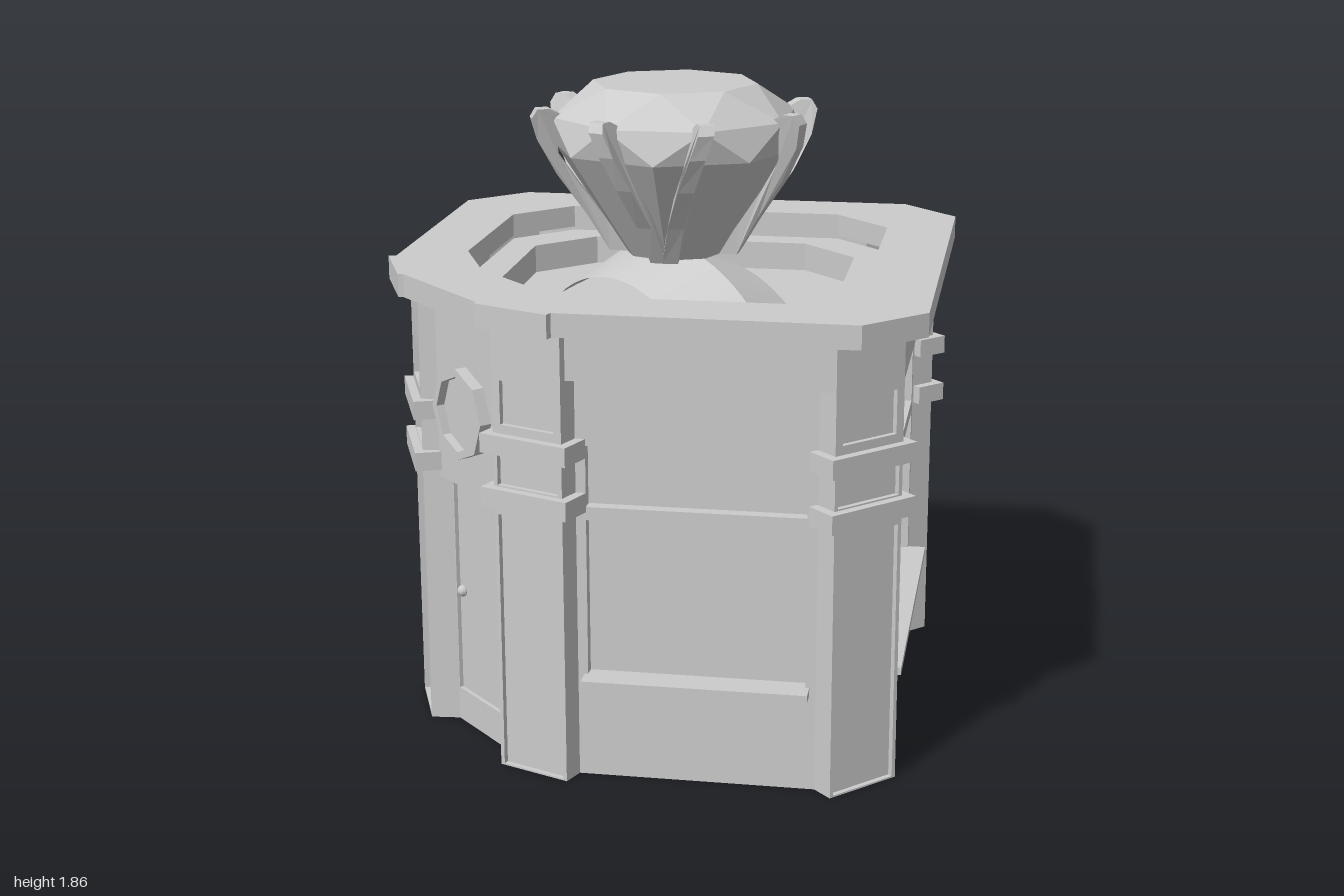
import * as THREE from 'three';
import { ConvexGeometry } from 'three/addons/geometries/ConvexGeometry.js';

const mat = new THREE.MeshStandardMaterial({ color: 0xcccccc, flatShading: true, side: THREE.DoubleSide });

export function createModel() {
  const model = new THREE.Group();

  const add = (name, geo, parent = model, x = 0, y = 0, z = 0) => {
    const m = new THREE.Mesh(geo, mat);
    m.name = name;
    m.position.set(x, y, z);
    parent.add(m);
    return m;
  };
  const box = (name, w, h, d, x, y, z, parent) => add(name, new THREE.BoxGeometry(w, h, d), parent, x, y, z);

  // Plan outlines are [x, z] points
  const vecs = (pts) => pts.map(([x, z]) => new THREE.Vector2(x, -z));
  const slab = (name, pts, y0, y1, hole) => {
    const s = new THREE.Shape(vecs(pts));
    if (hole) s.holes.push(new THREE.Path(vecs(hole)));
    const g = new THREE.ExtrudeGeometry(s, { depth: y1 - y0, bevelEnabled: false });
    add(name, g.rotateX(-Math.PI / 2), model, 0, y0, 0);
  };
  // Closed symmetric outline from its +x half, listed front to back
  const symmetric = (half) => [...half, ...half.map(([x, z]) => [-x, z]).reverse()];

  // Flat upright wall from a to b with rectangular recesses [u0, u1, y0, y1, depth]
  const wall = (name, a, b, y0, y1, recesses = []) => {
    const g = new THREE.Group();
    g.name = name;
    g.position.set(a[0], 0, a[1]);
    g.rotation.y = Math.atan2(a[1] - b[1], b[0] - a[0]);
    model.add(g);
    const len = Math.hypot(b[0] - a[0], b[1] - a[1]);
    const rect = (T, u0, u1, v0, v1) => new T([[u0, v0], [u1, v0], [u1, v1], [u0, v1]].map((p) => new THREE.Vector2(...p)));
    const face = rect(THREE.Shape, 0, len, y0, y1);
    for (const [u0, u1, v0, v1, d] of recesses) {
      face.holes.push(rect(THREE.Path, u0, u1, v0, v1));
      const tray = new THREE.BoxGeometry(u1 - u0, v1 - v0, d);
      tray.setIndex([...tray.index.array].filter((_, i) => i < 24 || i > 29)); // open front
      add(name + 'Recess', tray, g, (u0 + u1) / 2, (v0 + v1) / 2, -d / 2);
    }
    add(name + 'Face', new THREE.ShapeGeometry(face), g);
    return g;
  };

  // Pilaster face with sunk panels and two collars
  const pilaster = (a, b) => {
    const L = Math.hypot(b[0] - a[0], b[1] - a[1]);
    const g = wall('pilaster', a, b, 0, 1.3, [
      [0.012, L - 0.012, 0.005, 0.755, 0.015],
      [0.012, L - 0.012, 0.84, 0.93, 0.015],
      [0.025, L - 0.025, 1.015, 1.14, 0.015],
    ]);
    for (const y of [0.808, 0.962]) box('collar', L + 0.056, 0.055, 0.1, L / 2, y, -0.025, g);
  };

  // Shop wall with window, upper sunk panel and sill
  const shopWall = (a, b) => {
    const L = Math.hypot(b[0] - a[0], b[1] - a[1]);
    const g = wall('shopWall', a, b, 0, 1.3, [
      [0.028, L - 0.028, 0.3, 0.758, 0.035],
      [0.028, L - 0.028, 0.795, 0.97, 0.035],
    ]);
    box('windowSill', L - 0.034, 0.022, 0.09, L / 2, 0.292, 0.01, g);
  };

  const mirror = ([x, z]) => [-x, z];
  for (const side of [1, -1]) {
    // Runs a wall builder from a to b, reflected on the other side
    const run = (fn, a, b) => (side > 0 ? fn(a, b) : fn(mirror(b), mirror(a)));
    const plain = (a, b) => wall('pilasterSide', a, b, 0, 1.3);
    run(plain, [0.145, 0.78], [0.2, 0.845]);
    run(pilaster, [0.2, 0.845], [0.405, 0.755]);
    run(plain, [0.405, 0.755], [0.38, 0.695]);
    run(shopWall, [0.38, 0.695], [0.85, 0.225]);
    run(plain, [0.85, 0.225], [0.92, 0.225]);
    run(pilaster, [0.92, 0.225], [0.92, -0.01]);
    run(plain, [0.92, -0.01], [0.85, -0.01]);
    run(shopWall, [0.85, -0.01], [0.12, -0.74]);
    run(plain, [0.12, -0.74], [0.12, -0.82]);
    // Fascias standing out under the roof
    for (const quad of [[[0.38, 0.695], [0.405, 0.74], [0.92, 0.225], [0.85, 0.225]],
      [[0.85, -0.01], [0.92, -0.01], [0.12, -0.81], [0.12, -0.74]]]) {
      slab('fascia', quad.map(([x, z]) => [side * x, z]), 1.165, 1.3);
    }
  }
  pilaster([0.12, -0.82], [-0.12, -0.82]);

  // Entrance
  wall('door', [-0.145, 0.78], [0.145, 0.78], 0, 1.3, [[0.004, 0.286, 0.1, 0.75, 0.012]]);
  box('doorHeader', 0.33, 0.54, 0.03, 0, 1.03, 0.795);
  add('doorKnob', new THREE.SphereGeometry(0.017, 10, 8), model, -0.12, 0.41, 0.772);
  const octagon = (T, r) => new T(Array.from({ length: 8 }, (_, i) =>
    new THREE.Vector2(r * Math.sin(i * Math.PI / 4), r * Math.cos(i * Math.PI / 4))));
  const frame = octagon(THREE.Shape, 0.133);
  frame.holes.push(octagon(THREE.Path, 0.11));
  add('medallionFrame', new THREE.ExtrudeGeometry(frame, { depth: 0.035, bevelEnabled: false }), model, 0, 0.99, 0.81);
  add('medallion', new THREE.ExtrudeGeometry(octagon(THREE.Shape, 0.11), { depth: 0.01, bevelEnabled: false }), model, 0, 0.99, 0.81);

  // Roof with a stepped well
  const roof = symmetric([[0.2, 0.888], [0.21, 0.9], [0.43, 0.81], [0.42, 0.79], [1, 0.21], [1, -0.02], [0.12, -0.9]]);
  const well = symmetric([[0.12, 0.68], [0.35, 0.59], [0.72, 0.21], [0.72, -0.02], [0.12, -0.62]]);
  const inner = symmetric([[0.12, 0.59], [0.27, 0.53], [0.59, 0.21], [0.59, -0.02], [0.12, -0.49]]);
  slab('roofSlab', roof, 1.295, 1.362, well);
  slab('roofStep', well, 1.2, 1.285, inner);
  slab('roofFloor', inner, 1.19, 1.2);

  // Ridged ring band arching out of the well
  const cz = 0.092;
  const bandProfile = [[0.55, -0.2], [0.63, 0], [0.55, 0.2]].map((p) => new THREE.Vector2(...p));
  const band = new THREE.LatheGeometry(bandProfile, 20, -0.78, 1.56).rotateX(-Math.PI / 2);
  add('ringBand', band, model, 0, 0.75, cz);

  // Faceted gem: rings of [radius, height, turn in eighths]
  const gemPoints = [];
  for (const [r, y, t] of [[0.24, 1.86, 0], [0.36, 1.77, 0.5], [0.36, 1.675, 0], [0.15, 1.365, 0]]) {
    for (let i = 0; i < 8; i++) {
      const a = (i + t) * Math.PI / 4;
      gemPoints.push(new THREE.Vector3(r * Math.sin(a), y, r * Math.cos(a)));
    }
  }
  add('gem', new ConvexGeometry(gemPoints), model, 0, 0, cz);

  // Claws holding the gem, each pair twisting together towards its foot
  const profile = [[0.13, 1.365], [0.19, 1.365], [0.26, 1.48], [0.345, 1.6], [0.4, 1.7], [0.42, 1.77], [0.405, 1.797],
    [0.37, 1.797], [0.325, 1.775], [0.352, 1.755], [0.34, 1.66], [0.28, 1.57], [0.2, 1.46]];
  const claw = new THREE.Shape(profile.map((p) => new THREE.Vector2(...p)));
  const v = new THREE.Vector3();
  const up = new THREE.Vector3(0, 1, 0);
  for (let i = 0; i < 8; i++) {
    const geo = new THREE.ExtrudeGeometry(claw, { depth: 0.045, bevelEnabled: false }).translate(0, 0, -0.0225);
    const pos = geo.attributes.position;
    for (let k = 0; k < pos.count; k++) {
      v.fromBufferAttribute(pos, k);
      const twist = 0.3 * (1.797 - v.y) / 0.432 * (i % 2 ? -1 : 1);
      v.applyAxisAngle(up, (i + 0.5) * Math.PI / 4 + twist);
      pos.setXYZ(k, v.x, v.y, v.z);
    }
    geo.computeVertexNormals();
    add('claw', geo, model, 0, 0, cz);
  }

  return model;
}
